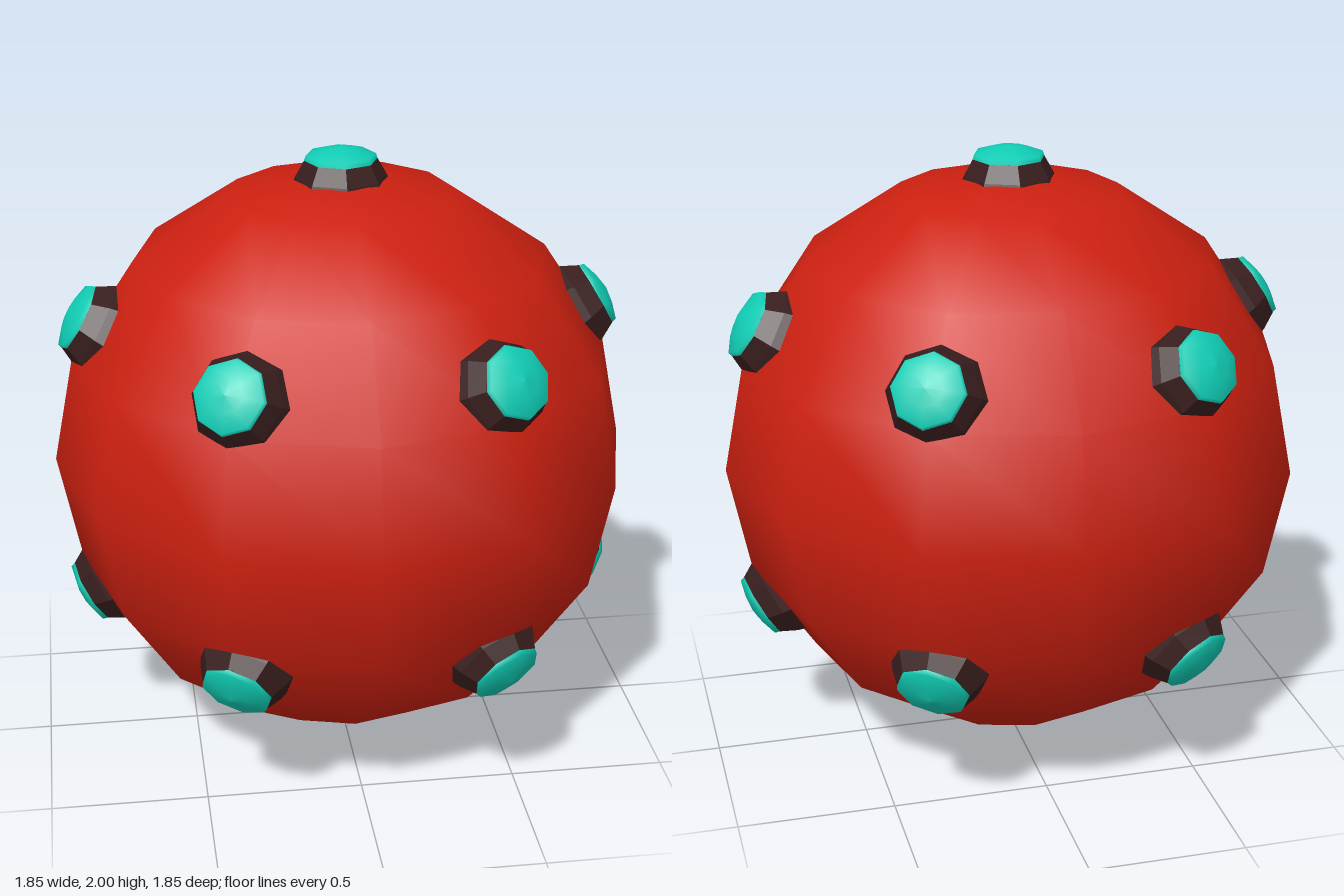
import * as THREE from 'three';

const red = new THREE.MeshStandardMaterial({ color: 0xcc2010 });
const dark = new THREE.MeshStandardMaterial({ color: 0x381d1d, flatShading: true });
const teal = new THREE.MeshStandardMaterial({ color: 0x10ccb4 });

// eight-sided turned part, profile given as [radius, distance from ball centre]
const turned = (points) =>
  new THREE.LatheGeometry(points.map(([r, h]) => new THREE.Vector2(r, h)), 8);

const rimGeometry = turned([[0, 0.85], [0.165, 0.85], [0.145, 0.905], [0.115, 0.958], [0, 0.958]]);
const lensGeometry = turned([[0.115, 0.957], [0.11, 0.974], [0.055, 0.991], [0, 1]]);

// stud on the ball: dark tapered rim with a shallow domed lens
function makeStud(latitude, azimuth) {
  const stud = new THREE.Group();
  stud.name = 'stud';
  const rim = new THREE.Mesh(rimGeometry, dark);
  rim.name = 'studRim';
  const lens = new THREE.Mesh(lensGeometry, teal);
  lens.name = 'studLens';
  stud.add(rim, lens);
  // tip outward, then swing around the vertical axis
  stud.rotation.set(0, azimuth, latitude - Math.PI / 2, 'YZX');
  return stud;
}

export function createModel() {
  const model = new THREE.Group();
  model.name = 'studdedBall';

  // ball
  const ball = new THREE.Mesh(new THREE.SphereGeometry(0.927, 12, 8), red);
  ball.name = 'ball';
  ball.position.y = 1;
  model.add(ball);

  // one stud at each pole and two rings of six
  const studs = new THREE.Group();
  studs.name = 'studs';
  studs.position.y = 1;
  for (const side of [1, -1]) {
    studs.add(makeStud((side * Math.PI) / 2, 0));
    for (let i = 0; i < 6; i++) studs.add(makeStud((side * Math.PI) / 6, (i * Math.PI) / 3));
  }
  model.add(studs);
  return model;
}
